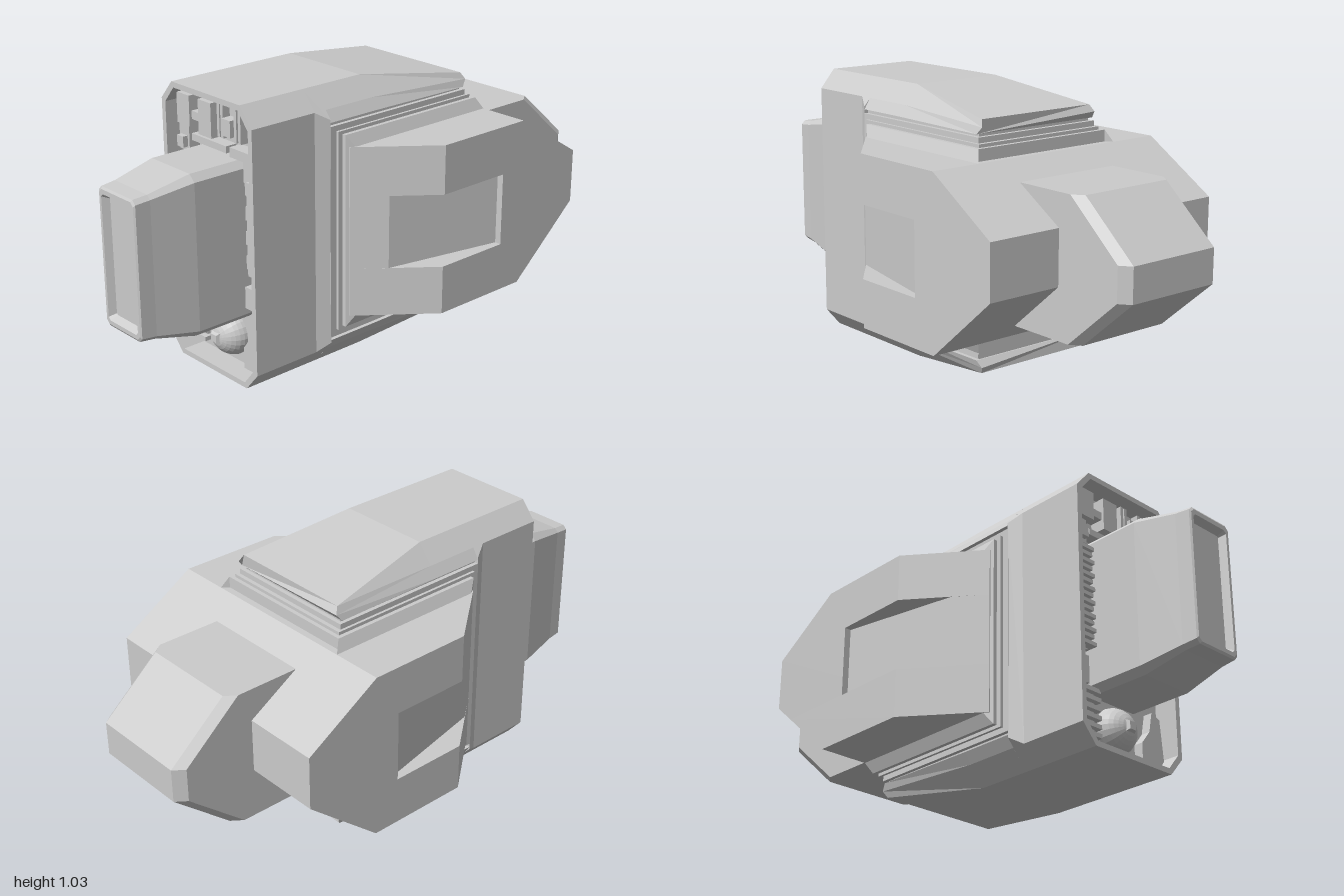
import * as THREE from 'three';

const FLOOR = 0.54; // depth of the front recess floor

export function createModel() {
  const group = new THREE.Group();
  const mat = new THREE.MeshStandardMaterial({ color: 0xcccccc, flatShading: true });

  function add(name, geo) {
    const mesh = new THREE.Mesh(geo, mat);
    mesh.name = name;
    group.add(mesh);
    return mesh;
  }
  // Skin a series of equal-length rings (counter-clockwise from +z) with end caps
  function loft(rings) {
    const n = rings[0].length, idx = [], last = (rings.length - 1) * n;
    for (let i = 0; i < rings.length - 1; i++)
      for (let j = 0; j < n; j++) {
        const a = i * n + j, b = i * n + (j + 1) % n;
        idx.push(a, b, b + n, a, b + n, a + n);
      }
    for (let j = 1; j < n - 1; j++) {
      idx.push(0, j + 1, j);
      idx.push(last, last + j, last + j + 1);
    }
    const g = new THREE.BufferGeometry();
    g.setAttribute('position', new THREE.Float32BufferAttribute(rings.flat(2), 3));
    g.setIndex(idx);
    const flat = g.toNonIndexed();
    flat.computeVertexNormals();
    return flat;
  }
  // Rectangle with chamfered corners at depth z
  const oct = (hw, y0, y1, cx, cy, z) => [
    [hw - cx, y0], [hw, y0 + cy], [hw, y1 - cy], [hw - cx, y1],
    [cx - hw, y1], [-hw, y1 - cy], [-hw, y0 + cy], [cx - hw, y0]
  ].map(([x, y]) => [x, y, z]);
  const box = (x0, x1, y0, y1, z0, z1) =>
    new THREE.BoxGeometry(x1 - x0, y1 - y0, z1 - z0).translate((x0 + x1) / 2, (y0 + y1) / 2, (z0 + z1) / 2);
  // Prism across x: sections are [x, [[z, y], ...]]
  const across = (sections) =>
    loft(sections.map(([x, pts]) => pts.map(([z, y]) => [-z, y, x]))).rotateY(Math.PI / 2);

  // Front hull with the open recess
  add('frontHull', loft([
    oct(0.27, 0, 1.03, 0.085, 0.1, 0.31),
    oct(0.245, 0, 1.03, 0.06, 0.07, 0.36),
    oct(0.245, 0, 1.03, 0.06, 0.07, 0.63),
    oct(0.225, 0.02, 1.01, 0.05, 0.06, 0.63),
    oct(0.225, 0.02, 1.01, 0.05, 0.06, FLOOR)
  ]));

  // Sloping roof shell and its counterpart underneath
  const roofRing = (z) => [[0.27, 0.92, z], [0.245, 0.96, z], [0.185, 1.03, z],
    [-0.185, 1.03, z], [-0.245, 0.96, z], [-0.27, 0.92, z]];
  const roofEnd = [[0.27, 0.915, -0.335], [0.262, 0.94, -0.355], [0.25, 0.965, -0.34],
    [-0.25, 0.965, -0.34], [-0.262, 0.94, -0.355], [-0.27, 0.915, -0.335]];
  const roof = loft([roofEnd, roofRing(0.1), roofRing(0.31)]);
  add('roofShell', roof);
  add('bellyShell', roof.clone().rotateZ(Math.PI).translate(0, 1.03, 0));

  // Stepped bands between the shells and the wing slab
  add('core', box(-0.255, 0.255, 0.11, 0.92, -0.33, 0.32));
  add('outerBand', box(-0.27, 0.27, 0.125, 0.905, -0.345, 0.312));
  add('middleBand', box(-0.28, 0.28, 0.145, 0.885, -0.36, 0.285));
  const rect = (z0, z1, y0, y1) => [[z1, y0], [z0, y0], [z0, y1], [z1, y1]];
  const inner = rect(-0.375, 0.265, 0.157, 0.873), outer = rect(-0.4, 0.235, 0.2, 0.83);
  add('innerBand', across([[-0.315, outer], [-0.295, inner], [0.295, inner], [0.315, outer]]));

  // Wing slab in horizontal layers; the middle layers carry the side notches
  function wingLayer(y0, y1, rear0, rear1, notched) {
    const half = [[0.51, -1]];
    if (notched) half.push([0.51, -0.3], [0.485, -0.3], [0.39, 0.148]);
    else half.push([0.51, 0]);
    half.push([0.305, 0.255]);
    const pts = [...half, ...half.slice().reverse().map(([x, z]) => [-x, z])];
    const shape = new THREE.Shape(pts.map(([x, z]) => new THREE.Vector2(x, -z)));
    const g = new THREE.ExtrudeGeometry(shape, { depth: y1 - y0, bevelEnabled: false });
    g.rotateX(-Math.PI / 2).translate(0, y0, 0);
    const p = g.attributes.position;
    for (let i = 0; i < p.count; i++)
      if (p.getZ(i) < -0.9) p.setZ(i, p.getY(i) < (y0 + y1) / 2 ? rear0 : rear1);
    g.computeVertexNormals();
    add('wingSlab', g);
  }
  wingLayer(0.2, 0.38, -0.4, -0.609, false);
  wingLayer(0.38, 0.45, -0.609, -0.69, true);
  wingLayer(0.45, 0.65, -0.69, -0.69, true);
  wingLayer(0.65, 0.83, -0.69, -0.4, false);

  // Rear block with bevelled side edges
  const rear = (a, b) => [[-0.41, 0.265], [a, 0.265], [b, 0.455], [b, 0.58], [a, 0.77], [-0.41, 0.77]];
  add('rearBlock', across([[-0.217, rear(-0.74, -0.96)], [-0.187, rear(-0.78, -1)],
    [0.187, rear(-0.78, -1)], [0.217, rear(-0.74, -0.96)]]));

  // Tapered nose with a framed, sunken window
  add('nose', loft([
    oct(0.13, 0.225, 0.81, 0.025, 0.025, FLOOR - 0.02),
    oct(0.13, 0.225, 0.81, 0.025, 0.025, 0.78),
    oct(0.106, 0.262, 0.775, 0.015, 0.015, 0.94),
    oct(0.102, 0.267, 0.77, 0.015, 0.015, 0.995),
    oct(0.096, 0.275, 0.762, 0.014, 0.014, 1),
    oct(0.085, 0.29, 0.745, 0.01, 0.01, 1),
    oct(0.072, 0.305, 0.73, 0.005, 0.005, 0.975)
  ]));

  // Dome and its square stud
  add('dome', new THREE.SphereGeometry(0.085, 24, 8, 0, Math.PI * 2, 0, Math.PI / 2)
    .rotateX(Math.PI / 2).translate(0, 0.125, FLOOR - 0.005));
  add('domeStud', new THREE.CylinderGeometry(0.02, 0.042, 0.03, 4)
    .rotateY(Math.PI / 4).rotateX(Math.PI / 2).translate(0, 0.125, 0.613));

  // Fittings inside the recess
  const fit = (name, x0, x1, y0, y1, h) => add(name, box(x0, x1, y0, y1, FLOOR - 0.01, FLOOR + h));
  for (let i = 0; i < 15; i++) {
    const y = 0.38 + i * 0.0262;
    fit('coolingFin', -0.208, i % 2 ? -0.145 : -0.135, y, y + 0.014, 0.06);
  }
  fit('finBacking', -0.2, -0.15, 0.375, 0.775, 0.03);
  for (let i = 0; i < 6; i++) {
    const y = 0.06 + i * 0.032;
    fit('lowerFin', i % 2 ? -0.205 : -0.21, -0.105, y, y + 0.016, 0.045);
  }
  fit('lowerFinBacking', -0.19, -0.12, 0.055, 0.24, 0.025);
  fit('pipe', -0.2, -0.165, 0.24, 0.34, 0.05);
  fit('pipeEnd', -0.192, -0.173, 0.34, 0.38, 0.04);
  fit('valve', -0.21, -0.155, 0.775, 0.87, 0.045);
  fit('valveCap', -0.2, -0.165, 0.79, 0.83, 0.065);
  fit('linkLeft', -0.2, -0.13, 0.875, 0.985, 0.06);
  fit('linkBridge', -0.13, -0.08, 0.9, 0.93, 0.05);
  fit('linkRight', -0.08, -0.01, 0.86, 0.985, 0.06);
  for (const x of [0.018, 0.037, 0.108, 0.13]) fit('upperRib', x, x + 0.013, 0.875, 0.995, 0.055);
  fit('upperBox', 0.055, 0.1, 0.89, 0.95, 0.065);
  fit('upperPlate', 0.02, 0.165, 0.87, 0.995, 0.025);
  fit('crossRail', -0.14, 0.05, 0.82, 0.845, 0.045);
  fit('crossCover', 0.075, 0.19, 0.815, 0.85, 0.05);
  fit('sideCover', 0.14, 0.215, 0.74, 0.815, 0.045);
  fit('column', 0.165, 0.192, 0.41, 0.75, 0.055);
  for (let i = 0; i < 4; i++) {
    const y = 0.42 + i * 0.09;
    fit('clip', 0.133, 0.222, y, y + 0.05, 0.035);
  }
  fit('columnFoot', 0.14, 0.19, 0.28, 0.36, 0.05);
  const panel = new THREE.Shape([[0.105, 0.03], [0.185, 0.03], [0.215, 0.07], [0.2, 0.22],
    [0.16, 0.235], [0.145, 0.16], [0.105, 0.11]].map(([x, y]) => new THREE.Vector2(x, y)));
  add('lowerPanel', new THREE.ExtrudeGeometry(panel, { depth: 0.04, bevelEnabled: false }).translate(0, 0, FLOOR - 0.005));

  return group;
}
